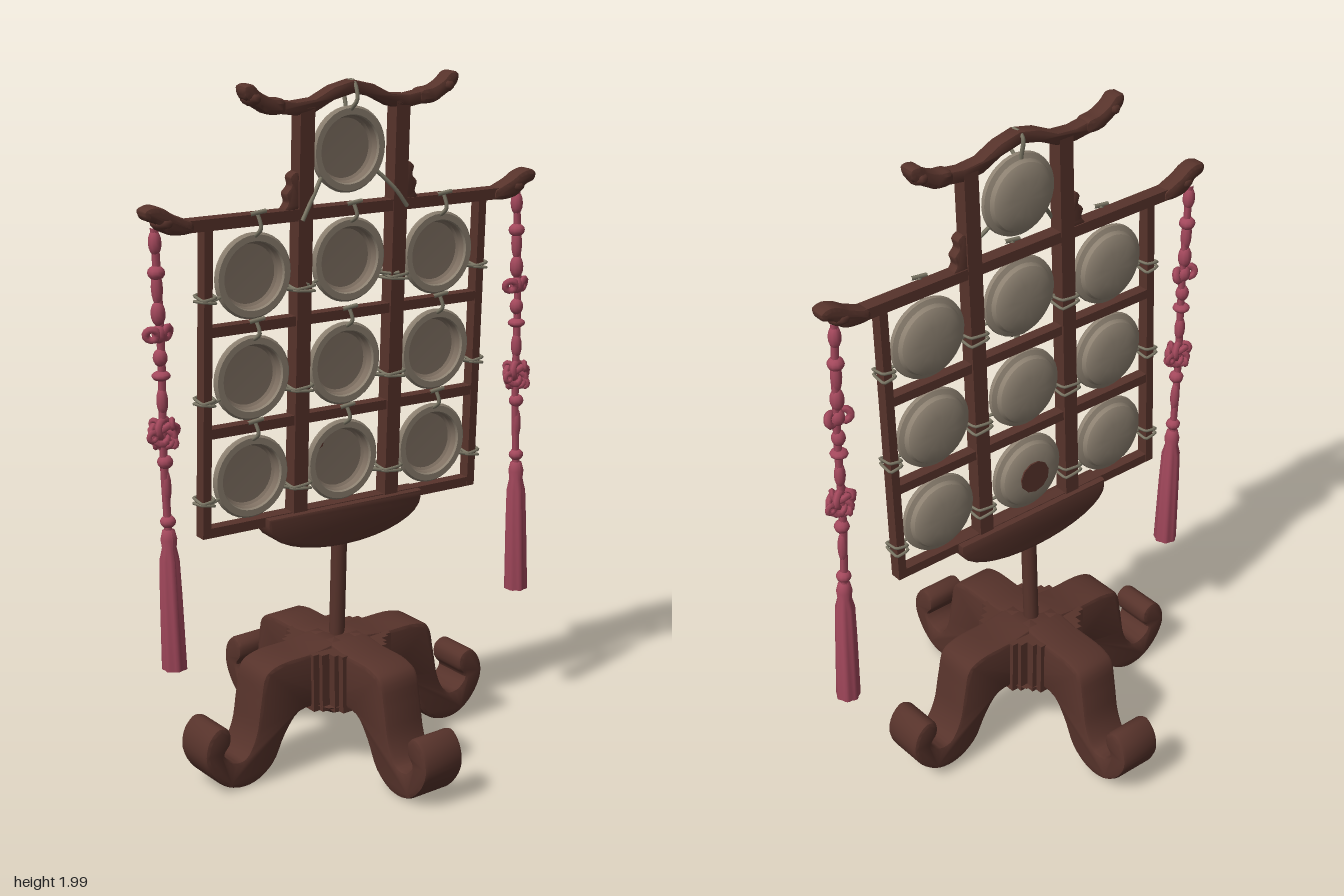
import * as THREE from 'three';
import { toCreasedNormals } from 'three/addons/utils/BufferGeometryUtils.js';

const mat = (name, color, side = THREE.FrontSide) => {
  const m = new THREE.MeshStandardMaterial({ color, side });
  m.name = name;
  return m;
};

export function createModel() {
  const wood = mat('dark wood', 0x57332b);
  const metal = mat('gong metal', 0x8e8272);
  const dark = mat('gong inner metal', 0x7f7062);
  const cord = mat('cord', 0x7f7a68);
  const red = mat('red silk', 0xa3485c);

  const V = (x, y, z = 0) => new THREE.Vector3(x, y, z);
  const add = (parent, name, geo, material, x = 0, y = 0, z = 0) => {
    const m = new THREE.Mesh(geo, material);
    m.name = name;
    m.position.set(x, y, z);
    parent.add(m);
    return m;
  };
  const group = (parent, name) => {
    const g = new THREE.Group();
    g.name = name;
    parent.add(g);
    return g;
  };
  const box = (parent, name, w, h, d, x, y, z = 0) =>
    add(parent, name, new THREE.BoxGeometry(w, h, d), wood, x, y, z);
  // Smooth closed outline, extruded with a soft bevel and centred on z = 0
  const slab = (points, depth, bevel, smooth = true) => {
    const pts = points.map(([x, y]) => V(x, y));
    const outline = smooth ? new THREE.CatmullRomCurve3(pts, true).getPoints(pts.length * 4).slice(0, -1) : pts;
    const geo = new THREE.ExtrudeGeometry(new THREE.Shape(outline.map(p => new THREE.Vector2(p.x, p.y))), {
      depth: depth - 2 * bevel, bevelSize: bevel, bevelOffset: -bevel, bevelThickness: bevel, bevelSegments: 2,
    });
    geo.translate(0, 0, bevel - depth / 2);
    return toCreasedNormals(geo, 0.6);
  };
  const rope = (parent, name, pts, r, material = cord) =>
    add(parent, name, new THREE.TubeGeometry(new THREE.CatmullRomCurve3(pts), pts.length * 5, r, 6), material);
  const ball = (parent, name, material, x, y, z, sx, sy, sz) =>
    add(parent, name, new THREE.SphereGeometry(1, 10, 8), material, x, y, z).scale.set(sx, sy, sz);

  const model = new THREE.Group();
  model.name = 'gongStand';

  // Base: four scrolled legs round a stepped hub
  const base = group(model, 'base');
  base.position.set(-0.012, 0, 0.005);
  base.rotation.set(0.028, 0.035, 0.032);
  const legGeo = slab([
    [0, 0.375], [0.14, 0.376], [0.25, 0.372], [0.295, 0.35], [0.315, 0.27], [0.335, 0.17], [0.37, 0.115],
    [0.41, 0.115], [0.438, 0.145], [0.418, 0.175], [0.42, 0.215], [0.455, 0.232], [0.492, 0.2], [0.503, 0.14],
    [0.47, 0.075], [0.41, 0.032], [0.34, 0.03], [0.275, 0.07], [0.23, 0.15], [0.18, 0.205], [0.08, 0.205], [0, 0.205],
  ], 0.135, 0.012);
  for (let i = 0; i < 4; i++) add(base, 'leg', legGeo, wood).rotation.y = i * Math.PI / 2;
  for (const [w, d] of [[0.28, 0.16], [0.24, 0.19], [0.19, 0.24], [0.16, 0.28]])
    box(base, 'hubStep', w, 0.175, d, 0, 0.287);
  add(base, 'hubUnderside', new THREE.CylinderGeometry(0.16, 0.08, 0.05, 8), wood, 0, 0.19);

  // Upper rack, leaning slightly to the front
  const rack = group(model, 'rack');
  rack.rotation.x = 0.042;
  rack.position.z = -0.01;
  add(rack, 'pole', new THREE.CylinderGeometry(0.023, 0.023, 0.36, 12), wood, -0.015, 0.53);
  const bowl = [[-0.28, 0.787]];
  for (let i = 0; i <= 16; i++) {
    const a = Math.PI * (1 + i / 16);
    bowl.push([-0.015 + 0.265 * Math.cos(a), 0.765 + 0.1 * Math.sin(a)]);
  }
  bowl.push([0.25, 0.787]);
  add(rack, 'lowerBracket', slab(bowl, 0.075, 0.008, false), wood);

  // Lattice bars
  const posts = [-0.47, -0.166, 0.15, 0.446];
  const rows = [0.775, 1.06, 1.345];
  posts.forEach((x, i) => {
    const inner = i === 1 || i === 2;
    const top = inner ? 1.93 : 1.64;
    box(rack, inner ? 'innerPost' : 'outerPost', inner ? 0.046 : 0.026, top - 0.762, inner ? 0.045 : 0.036, x, (top + 0.762) / 2);
  });
  for (const y of rows) box(rack, 'crossBar', 0.94, 0.028, 0.034, -0.012, y);
  box(rack, 'mainBar', 1.1, 0.032, 0.042, -0.012, 1.64);

  // Carved ends, side ornaments and curved top rail
  const head = [[0, -0.012], [0.05, -0.017], [0.085, -0.008], [0.11, 0.018], [0.142, 0.032], [0.148, 0.055],
    [0.122, 0.066], [0.09, 0.058], [0.06, 0.04], [0.025, 0.025], [0, 0.012]];
  const topHead = [[0, -0.015], [0.05, -0.018], [0.075, -0.005], [0.1, 0.01], [0.125, 0.032], [0.128, 0.06],
    [0.1, 0.064], [0.075, 0.043], [0.04, 0.026], [0, 0.018]];
  const ornament = [[0, 0], [0.052, 0.003], [0.04, 0.025], [0.046, 0.05], [0.03, 0.07], [0.034, 0.095], [0.015, 0.108], [0, 0.09]];
  for (const s of [-1, 1]) {
    const flip = pts => pts.map(([x, y]) => [x * s, y]);
    add(rack, 'carvedEnd', slab(flip(head), 0.055, 0.013), wood, -0.015 + s * 0.503, 1.638);
    ball(rack, 'carvedCheek', wood, -0.015 + s * 0.585, 1.655, 0, 0.034, 0.022, 0.033);
    add(rack, 'carvedTopEnd', slab(flip(topHead), 0.055, 0.013), wood, -0.015 + s * 0.224, 1.936);
    ball(rack, 'carvedTopCheek', wood, -0.015 + s * 0.318, 1.963, 0, 0.027, 0.022, 0.036);
    add(rack, 'sideOrnament', slab(flip(ornament), 0.035, 0.006), wood, -0.008 + s * 0.172, 1.65);
  }
  const rail = [[-0.27, 1.938], [-0.2, 1.928], [-0.14, 1.933], [-0.08, 1.962], [-0.015, 1.977],
    [0.05, 1.962], [0.11, 1.933], [0.17, 1.928], [0.24, 1.938]];
  const railBand = [...rail.map(([x, y]) => [x, y + 0.018]), ...rail.slice().reverse().map(([x, y]) => [x, y - 0.018])];
  add(rack, 'topRail', slab(railBand, 0.045, 0.006, false), wood);

  // Gongs: shallow pans, open to the front
  const lathe = pts => toCreasedNormals(
    new THREE.LatheGeometry(pts.map(p => new THREE.Vector2(...p)), 36).rotateX(Math.PI / 2), 0.5);
  const shellGeo = lathe([[0, -0.032], [0.05, -0.03], [0.085, -0.024], [0.098, -0.016], [0.104, -0.004],
    [0.118, 0.002], [0.12, 0.012], [0.114, 0.019], [0.096, 0.019], [0.093, 0.012]]);
  const innerGeo = lathe([[0.093, 0.012], [0.09, -0.008], [0.083, -0.014], [0, -0.016]]);
  const gong = (x, y) => {
    const g = group(rack, 'gong');
    g.position.set(x, y, -0.006);
    add(g, 'gongShell', shellGeo, metal);
    add(g, 'gongFace', innerGeo, dark);
    return g;
  };
  const hanger = (x, y, top) => {
    rope(rack, 'hangingCord', [V(x, y + 0.105, 0.005), V(x + 0.008, (y + 0.11 + top) / 2, 0.028), V(x, top + 0.022, 0.02)], 0.006);
    rope(rack, 'hangingPeg', [V(x - 0.025, top + 0.018, 0.025), V(x + 0.025, top + 0.024, 0.025)], 0.006);
  };
  const columns = [-0.322, -0.01, 0.3];
  const centres = [0.915, 1.2, 1.485];
  centres.forEach((y, r) => columns.forEach((x, c) => {
    const gx = x - (c === 1 && r < 2 ? 0.006 : 0);
    const gy = y + (c === 1 && r === 2 ? 0.012 : 0);
    const g = gong(gx, gy);
    if (r === 0 && c === 1) {
      add(g, 'backPatch', new THREE.CylinderGeometry(0.05, 0.05, 0.005, 11).rotateX(Math.PI / 2), wood, 0, 0, -0.032);
      add(g, 'facePatch', new THREE.CylinderGeometry(0.014, 0.014, 0.003, 7).rotateX(Math.PI / 2), wood, -0.062, 0.05, -0.0135);
    }
    hanger(gx, gy, r === 2 ? 1.64 : rows[r + 1]);
    // Side cords to the neighbouring posts
    for (const s of [-1, 1]) {
      const px = posts[c + (s > 0 ? 1 : 0)];
      rope(rack, 'sideCord', [V(gx + s * 0.095, gy - 0.045, 0.005), V((gx + s * 0.11 + px) / 2, gy - 0.052, 0.015), V(px, gy - 0.05, 0.026)], 0.005);
    }
  }));
  gong(-0.018, 1.805);
  rope(rack, 'topCord', [V(-0.018, 1.91, 0.005), V(-0.012, 1.945, 0.03), V(-0.015, 1.99, 0.015), V(-0.018, 1.98, -0.025), V(-0.018, 1.915, -0.015)], 0.006);
  rope(rack, 'diagonalCord', [V(-0.105, 1.74, 0.005), V(-0.15, 1.68, 0.024), V(-0.18, 1.625, 0.026)], 0.006);
  rope(rack, 'diagonalCord', [V(0.07, 1.745, 0.005), V(0.13, 1.685, 0.024), V(0.17, 1.635, 0.026)], 0.006);

  // Cord wraps round the posts
  for (const y of centres) posts.forEach((x, i) => {
    const w = i === 1 || i === 2 ? 0.029 : 0.019;
    const d = i === 1 || i === 2 ? 0.028 : 0.024;
    for (const k of [-1, 1]) {
      const loop = [V(-w, 0, -d), V(w, 0.006 * k, -d), V(w, 0, d), V(-w, -0.006 * k, d)];
      const curve = new THREE.CatmullRomCurve3(loop, true, 'catmullrom', 0.15);
      add(rack, 'postWrap', new THREE.TubeGeometry(curve, 24, 0.0045, 5, true), cord, x, y - 0.05 + k * 0.008);
    }
  });

  // Hanging silk tassels, with y measured down from the top
  const tassel = (x, z, name) => {
    const t = group(model, name);
    t.position.set(x, 1.62, z);
    t.rotation.set(0.012, 0, 0.034);
    rope(t, 'tasselCord', [V(0, 0.02), V(0.004, -0.3), V(-0.004, -0.6), V(0, -0.84)], 0.011, red);
    for (const [y, w, h] of [[-0.02, 0.018, 0.035], [-0.1, 0.024, 0.02], [-0.14, 0.016, 0.05], [-0.21, 0.02, 0.035],
      [-0.33, 0.02, 0.025], [-0.38, 0.026, 0.014], [-0.45, 0.016, 0.04], [-0.62, 0.022, 0.02], [-0.69, 0.014, 0.05], [-0.79, 0.022, 0.018]])
      ball(t, 'bead', red, 0, y, 0, w, h, w);
    // Small bow knot
    for (const s of [-1, 1])
      add(t, 'bowLoop', new THREE.TorusGeometry(0.016, 0.011, 6, 12), red, s * 0.022, -0.265).rotation.set(0.3, s * 0.5, 0);
    ball(t, 'bowCentre', red, 0, -0.265, 0, 0.02, 0.026, 0.02);
    // Large woven knot
    add(t, 'wovenKnot', new THREE.TorusKnotGeometry(0.026, 0.01, 48, 6, 3, 4), red, 0, -0.54).scale.z = 1.1;
    for (let i = 0; i < 6; i++) {
      const a = i * Math.PI / 3;
      add(t, 'knotLoop', new THREE.TorusGeometry(0.012, 0.008, 5, 10), red, 0.04 * Math.cos(a), -0.54 + 0.03 * Math.sin(a), i % 2 ? 0.012 : -0.012).rotation.y = a;
    }
    // Fringe with fluted sides
    const profile = [[0, -0.81], [0.017, -0.815], [0.023, -0.84], [0.02, -0.865], [0.027, -0.9], [0.03, -1.0], [0.034, -1.22], [0, -1.225]];
    const fringe = new THREE.LatheGeometry(profile.reverse().map(p => new THREE.Vector2(...p)), 28);
    const p = fringe.attributes.position;
    for (let i = 0; i < p.count; i++) {
      const k = p.getY(i) < -0.88 ? 1 + 0.07 * Math.cos(7 * Math.atan2(p.getZ(i), p.getX(i))) : 1;
      p.setXYZ(i, p.getX(i) * k, p.getY(i), p.getZ(i) * k);
    }
    fringe.computeVertexNormals();
    add(t, 'fringe', fringe, red);
  };
  tassel(-0.615, 0.042, 'rightTassel');
  tassel(0.588, 0.056, 'leftTassel');
  return model;
}
